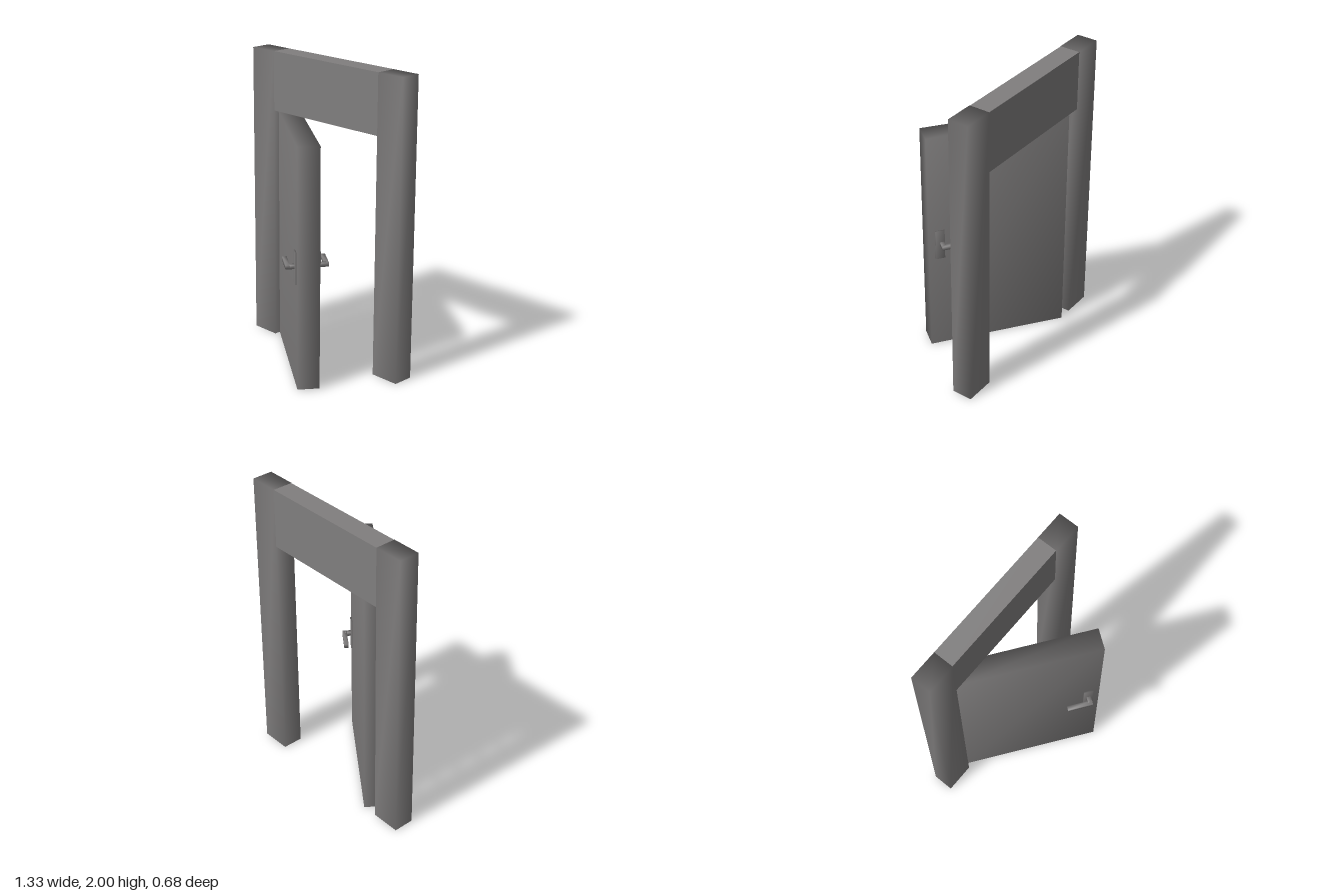
import * as THREE from 'three';
import { mergeVertices } from 'three/addons/utils/BufferGeometryUtils.js';

const gray = new THREE.MeshStandardMaterial({ color: 0x807e7e });
gray.name = 'gray';

// Box given by its limits; soft boxes share corner normals for rounded shading
function addBox(parent, name, [x0, x1], [y0, y1], [z0, z1], soft = true) {
  let geometry = new THREE.BoxGeometry(x1 - x0, y1 - y0, z1 - z0);
  if (soft) {
    geometry.deleteAttribute('normal');
    geometry.deleteAttribute('uv');
    geometry = mergeVertices(geometry);
    geometry.computeVertexNormals();
  }
  const mesh = new THREE.Mesh(geometry, gray);
  mesh.name = name;
  mesh.position.set((x0 + x1) / 2, (y0 + y1) / 2, (z0 + z1) / 2);
  parent.add(mesh);
  return mesh;
}

export function createModel() {
  const model = new THREE.Group();
  model.name = 'openDoor';

  // Frame
  addBox(model, 'rightPost', [-0.667, -0.468], [0, 2], [-0.336, -0.197]);
  addBox(model, 'leftPost', [0.465, 0.667], [0, 2], [-0.336, -0.197]);
  addBox(model, 'lintel', [-0.468, 0.465], [1.602, 2], [-0.336, -0.2], false);

  // Door swung open towards the front
  const door = new THREE.Group();
  door.name = 'door';
  door.position.set(-0.037, 0, -0.011);
  door.rotation.y = THREE.MathUtils.degToRad(-36.1);
  model.add(door);
  const L = 0.465, T = 0.071;
  addBox(door, 'doorPanel', [-L, L], [0.004, 1.596], [-T, T]);

  // A handle on each face: back plate, stem and lever
  for (const side of [1, -1]) {
    const handle = new THREE.Group();
    handle.name = side > 0 ? 'frontHandle' : 'backHandle';
    door.add(handle);
    const span = (a, b) => (side > 0 ? [T + a, T + b] : [-T - b, -T - a]);
    const end = L - (side > 0 ? 0.057 : 0.073);
    addBox(handle, 'plate', [L - 0.105, L - 0.043], [0.7, 0.912], span(-0.005, 0.01));
    addBox(handle, 'stem', [end - 0.028, end], [0.8, 0.826], span(0, 0.05));
    addBox(handle, 'lever', [end - 0.169, end], [0.8, 0.826], span(0.038, 0.067));
  }
  return model;
}
